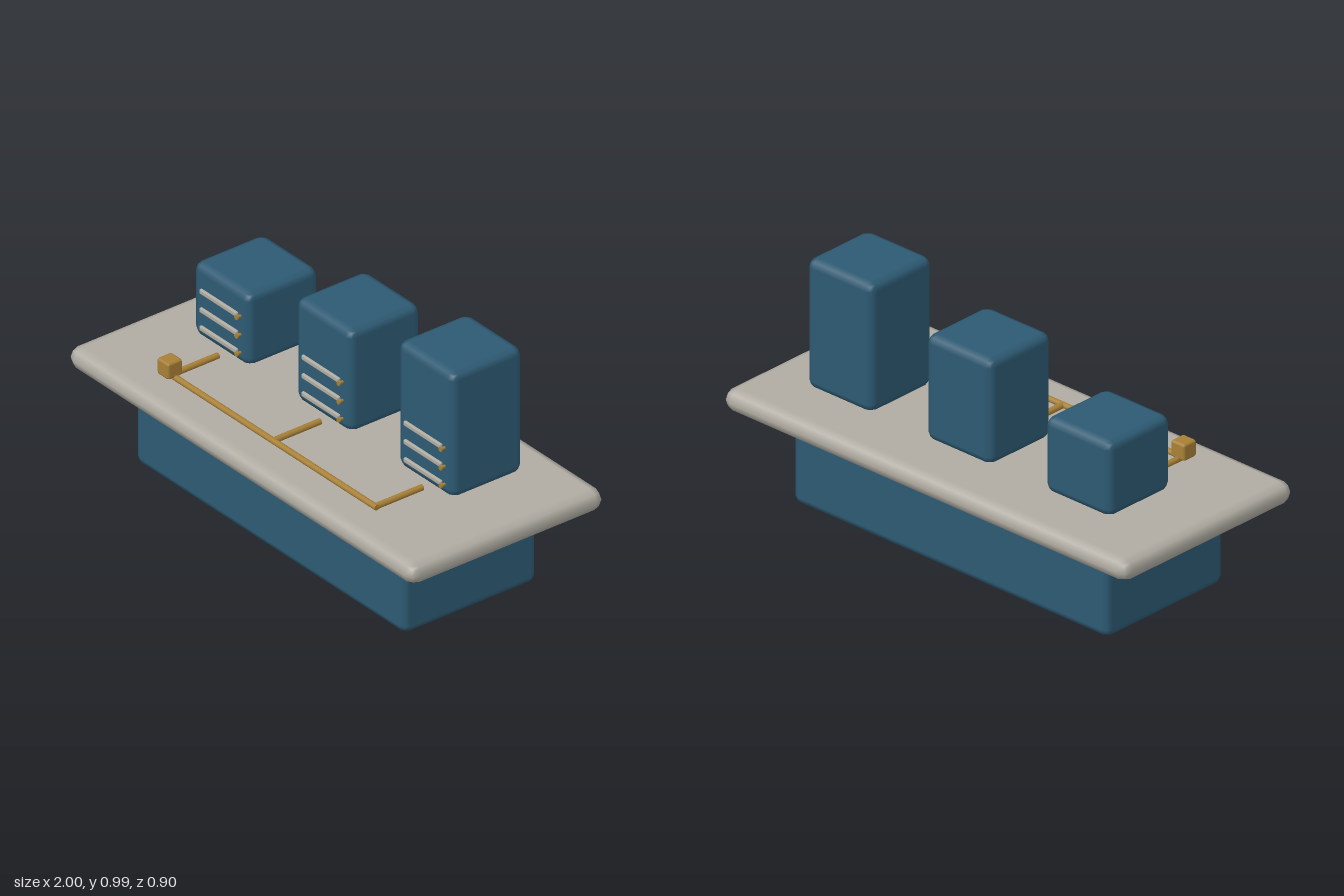
import * as THREE from 'three';
import { RoundedBoxGeometry } from 'three/addons/geometries/RoundedBoxGeometry.js';

function material(name, color) {
  const m = new THREE.MeshStandardMaterial({ color });
  m.name = name;
  return m;
}

export function createModel() {
  const blue = material('deep blue', 0x2d5a73);
  const stone = material('warm grey', 0xb0aca2);
  const brass = material('brass', 0xa88036);

  const model = new THREE.Group();
  model.name = 'consoleTable';

  const add = (parent, name, geometry, mat, x, y, z) => {
    const mesh = new THREE.Mesh(geometry, mat);
    mesh.name = name;
    mesh.position.set(x, y, z);
    parent.add(mesh);
    return mesh;
  };
  // Box with bevelled edges, placed by its bottom
  const block = (parent, name, mat, w, h, d, r, x, y, z) =>
    add(parent, name, new RoundedBoxGeometry(w, h, d, 1, r), mat, x, y + h / 2, z);

  // Plinth, trim and slab
  block(model, 'plinth', blue, 1.56, 0.325, 0.614, 0.03, 0, 0.003, 0);
  block(model, 'trim', brass, 1.6, 0.04, 0.655, 0.012, 0, 0.325, 0);
  block(model, 'slab', stone, 2, 0.09, 0.898, 0.044, 0, 0.352, 0);

  // Three towers of rising height, each with slats and studs on the front
  const spacing = 0.59, bottom = 0.466, front = 0.062;
  [0.772, 0.895, 0.992].forEach((top, i) => {
    const tower = new THREE.Group();
    tower.name = 'tower' + (i + 1);
    tower.position.x = (i - 1) * spacing;
    model.add(tower);
    block(tower, 'towerBody', blue, 0.325, top - bottom, 0.327, 0.033, 0, bottom, -0.102);
    for (const y of [0.516, 0.592, 0.67]) {
      block(tower, 'slat', stone, 0.215, 0.02, 0.014, 0.005, -0.004, y - 0.01, front + 0.004);
      const stem = new THREE.CylinderGeometry(0.006, 0.006, 0.022, 8).rotateX(Math.PI / 2);
      add(tower, 'studStem', stem, brass, 0.116, y, front + 0.009);
      const head = new THREE.CylinderGeometry(0.01, 0.01, 0.007, 10).rotateX(Math.PI / 2);
      add(tower, 'studHead', head, brass, 0.116, y, front + 0.018);
    }
  });

  // Feed pipe along the front with a branch to each tower
  const pipeY = 0.453, pipeZ = 0.29, pipeR = 0.012, branchEnd = 0.073;
  add(model, 'mainPipe',
    new THREE.CylinderGeometry(pipeR, pipeR, 2 * spacing + 0.02, 10).rotateZ(Math.PI / 2),
    brass, 0, pipeY, pipeZ);
  for (let i = -1; i <= 1; i++) {
    const length = pipeZ - branchEnd;
    add(model, 'branchPipe',
      new THREE.CylinderGeometry(pipeR, pipeR, length, 10).rotateX(Math.PI / 2),
      brass, i * spacing, pipeY, branchEnd + length / 2);
  }

  // Valve block at the end of the pipe
  block(model, 'valveBlock', brass, 0.068, 0.068, 0.068, 0.01, -0.593, 0.455, 0.294);

  return model;
}
